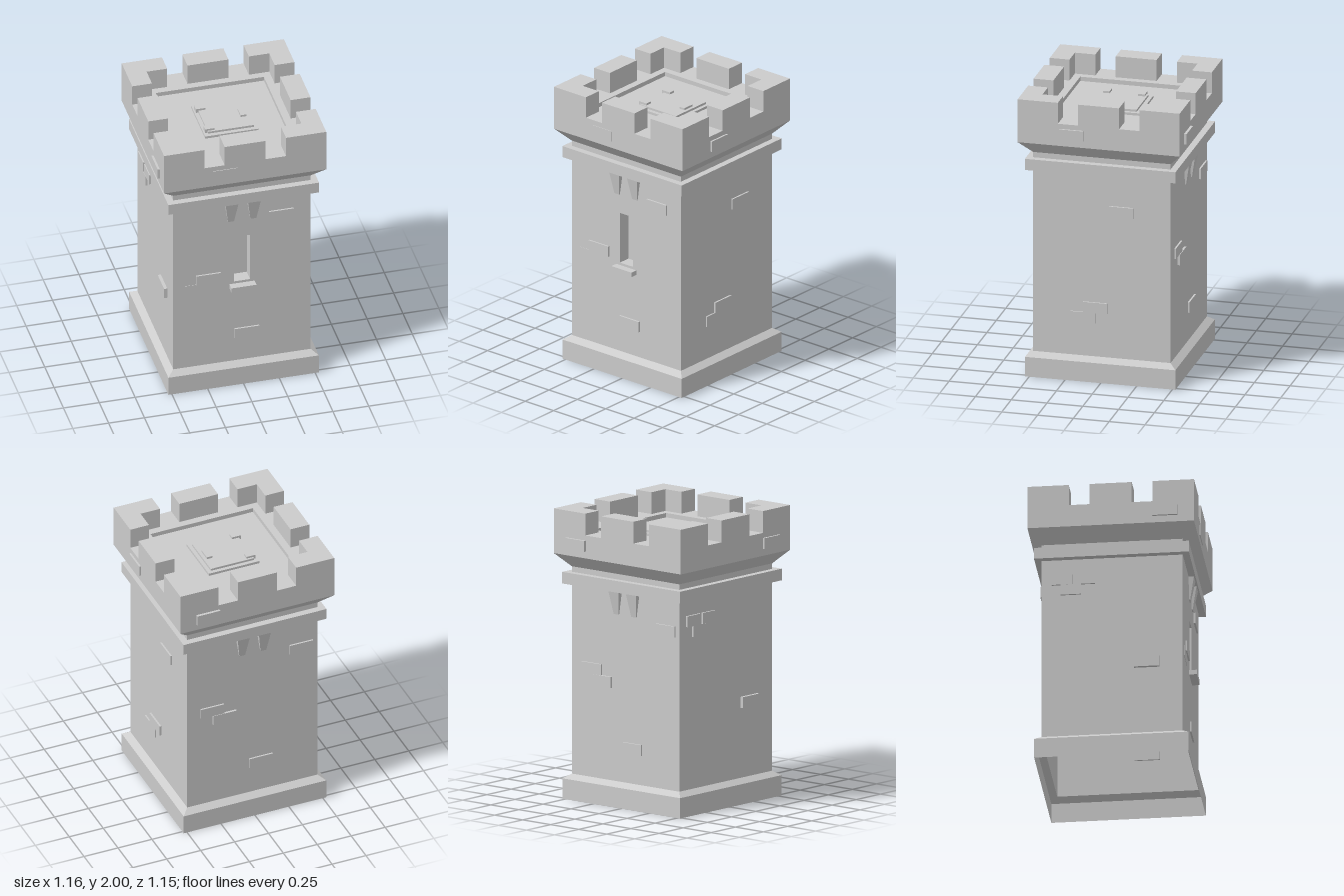
import * as THREE from 'three';

const mat = new THREE.MeshStandardMaterial({ color: 0xcccccc, flatShading: true });
const shellMat = new THREE.MeshStandardMaterial({ color: 0xcccccc, flatShading: true, side: THREE.DoubleSide });

const BODY = 0.48;      // half width of the shaft
const PARAPET = 0.566;  // half width of the parapet
const WALL = 0.138;     // merlon thickness
const GAP = 0.285;      // half width at the outer end of a crenel
const MID = 0.143;      // half width of a middle merlon

export function createModel() {
  const root = new THREE.Group();
  root.name = 'tower';
  const tower = new THREE.Group();
  tower.name = 'towerBody';
  tower.position.z = 0.004;
  root.add(tower);

  function add(name, geo, material = mat, parent = tower) {
    const m = new THREE.Mesh(geo, material);
    m.name = name;
    parent.add(m);
    return m;
  }
  // Box given by its lower and upper corners
  function box(name, x0, x1, y0, y1, z0, z1, parent = tower) {
    const m = add(name, new THREE.BoxGeometry(x1 - x0, y1 - y0, z1 - z0), mat, parent);
    m.position.set((x0 + x1) / 2, (y0 + y1) / 2, (z0 + z1) / 2);
    return m;
  }
  // Square shell from [half width, height] pairs
  function squareShell(name, profile) {
    const pts = profile.map(([r, y]) => new THREE.Vector2(r * Math.SQRT2, y));
    const geo = new THREE.LatheGeometry(pts, 4, Math.PI / 4).toNonIndexed();
    geo.computeVertexNormals();
    return add(name, geo, shellMat);
  }
  function rect(Type, x0, x1, y0, y1) {
    return new Type([[x0, y0], [x1, y0], [x1, y1], [x0, y1]].map(p => new THREE.Vector2(...p)));
  }

  // One group per side, each with local +z pointing outward
  const sides = {};
  [['front', 0], ['left', Math.PI / 2], ['back', Math.PI], ['right', -Math.PI / 2]].forEach(([n, a]) => {
    const g = new THREE.Group();
    g.name = n + 'Side';
    g.rotation.y = a;
    tower.add(g);
    sides[n] = g;
  });

  // Plinth, collar and flared parapet, all hollow
  squareShell('plinth', [[0.525, 0], [0.525, 0.14], [BODY, 0.172]]);
  squareShell('collarAndParapet', [
    [BODY, 1.482], [0.526, 1.482], [0.526, 1.562], [BODY, 1.562], [BODY, 1.6],
    [PARAPET, 1.692], [PARAPET, 1.85], [0.377, 1.85], [0.377, 1.82]]);
  const roof = add('roofFloor', new THREE.PlaneGeometry(0.754, 0.754), shellMat);
  roof.rotation.x = -Math.PI / 2;
  roof.position.y = 1.82;

  // Shaft walls, the front one pierced by the arrow slit
  for (const n in sides) {
    const wall = rect(THREE.Shape, -BODY, BODY, 0.172, 1.482);
    if (n === 'front') wall.holes.push(rect(THREE.Path, -0.057, 0.057, 0.82, 1.185));
    add('wall', new THREE.ShapeGeometry(wall), shellMat, sides[n]).position.z = BODY;
  }

  // Arrow slit reveal, its back and the sill
  const reveal = rect(THREE.Shape, -0.067, 0.067, 0.81, 1.195);
  reveal.holes.push(rect(THREE.Path, -0.057, 0.057, 0.82, 1.185));
  add('slitReveal', new THREE.ExtrudeGeometry(reveal, { depth: 0.09, bevelEnabled: false }))
    .position.z = BODY - 0.091;
  box('slitBack', -0.067, 0.067, 0.81, 1.195, BODY - 0.1, BODY - 0.09);
  box('windowSill', -0.088, 0.088, 0.77, 0.803, BODY - 0.02, 0.532);

  // Merlons: an L at each corner and a block in the middle of each side
  const i = PARAPET - WALL;
  const corner = new THREE.Shape([
    [GAP, i], [i, i], [i, GAP], [PARAPET, GAP], [PARAPET, PARAPET], [GAP, PARAPET],
  ].map(p => new THREE.Vector2(...p)));
  const cornerGeo = new THREE.ExtrudeGeometry(corner, { depth: 0.15, bevelEnabled: false });
  cornerGeo.rotateX(-Math.PI / 2);
  for (const n in sides) {
    add('cornerMerlon', cornerGeo, mat, sides[n]).position.y = 1.85;
    box('middleMerlon', -MID, MID, 1.85, 2, i, PARAPET, sides[n]);
  }

  // Tapered corbels under the collar, front and back
  const corbelGeo = new THREE.BoxGeometry(1, 1, 1);
  const p = corbelGeo.attributes.position;
  for (let k = 0; k < p.count; k++) {
    const top = p.getY(k) > 0;
    const outer = p.getZ(k) > 0;
    p.setXYZ(k, p.getX(k) * (top ? 0.09 : 0.042), top ? 1.482 : 1.322,
      outer ? (top ? 0.516 : 0.488) : BODY - 0.01);
  }
  corbelGeo.computeVertexNormals();
  for (const n of ['front', 'back']) {
    for (const s of [-1, 1]) add('corbel', corbelGeo, mat, sides[n]).position.x = s * 0.078;
  }

  // Raised bricks: [side, start along the side, bottom, projection, length]
  const bricks = [
    ['front', 0.187, 1.282, 0.012], ['front', -0.322, 0.84, 0.012],
    ['front', -0.408, 0.766, 0.003], ['front', -0.053, 0.36, 0.012],
    ['left', 0.05, 1.186, 0.012], ['left', -0.13, 0.485, 0.012], ['left', -0.217, 0.41, 0.01],
    ['back', 0.273, 1.23, 0.012], ['back', -0.383, 0.885, 0.012],
    ['back', -0.293, 0.81, 0.016], ['back', -0.025, 0.375, 0.012],
    ['right', -0.41, 1.295, 0.014, 0.14], ['right', -0.25, 1.295, 0.012, 0.135],
    ['right', -0.35, 1.22, 0.013, 0.14], ['right', 0.15, 0.655, 0.022],
  ];
  for (const [n, u, y, out, len = 0.172] of bricks) {
    box('brick', u, u + len, y, y + 0.075, BODY - 0.012, BODY + out, sides[n]);
  }
  const parapetBricks = [
    ['front', -0.225, 0.005], ['left', -0.273, 0.013], ['back', -0.45, 0.018], ['right', 0.283, 0.015],
  ];
  for (const [n, u, out] of parapetBricks) {
    box('parapetBrick', u, u + 0.17, 1.74, 1.815, PARAPET - 0.02, PARAPET + out, sides[n]);
  }

  // Roof hatch with hinges and handle
  const hatch = new THREE.Group();
  hatch.name = 'hatch';
  tower.add(hatch);
  box('hatchFrame', -0.18, 0.193, 1.81, 1.837, -0.187, 0.187, hatch);
  box('hatchDoor', -0.153, 0.167, 1.83, 1.852, -0.16, 0.158, hatch);
  for (const s of [-1, 1]) {
    box('hinge', -0.17, -0.103, 1.83, 1.866, s * 0.123 - 0.023, s * 0.123 + 0.023, hatch);
  }
  box('handle', 0.105, 0.145, 1.84, 1.866, -0.044, 0.044, hatch);

  return root;
}
